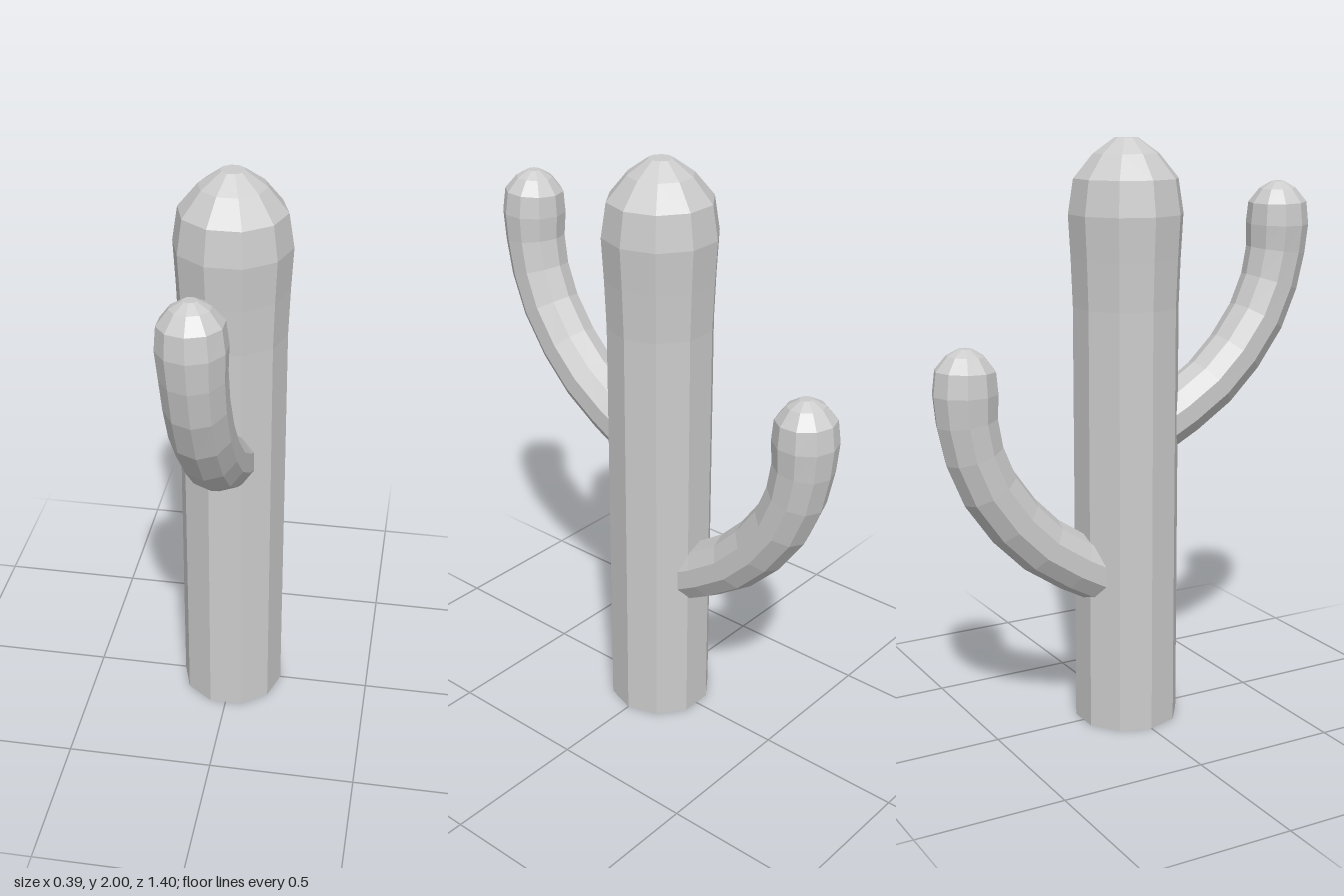
import * as THREE from 'three';

const SIDES = 10;

// Faceted tube: each ring is [x, y, z, radius]; both ends are closed.
function sweep(rings) {
  const centres = rings.map(([x, y, z]) => new THREE.Vector3(x, y, z));
  const across = new THREE.Vector3(1, 0, 0);
  const positions = [];
  const index = [];
  rings.forEach((ring, i) => {
    const tangent = centres[Math.min(i + 1, rings.length - 1)].clone()
      .sub(centres[Math.max(i - 1, 0)]).normalize();
    const normal = across.clone().cross(tangent).normalize();
    const side = tangent.clone().cross(normal);
    for (let j = 0; j < SIDES; j++) {
      const a = (j / SIDES) * Math.PI * 2;
      const p = centres[i].clone()
        .addScaledVector(normal, Math.cos(a) * ring[3])
        .addScaledVector(side, Math.sin(a) * ring[3]);
      positions.push(p.x, p.y, p.z);
    }
  });
  const last = (rings.length - 1) * SIDES;
  const startCentre = rings.length * SIDES;
  positions.push(...centres[0].toArray(), ...centres[rings.length - 1].toArray());
  for (let j = 0; j < SIDES; j++) {
    const k = (j + 1) % SIDES;
    for (let r = 0; r < last; r += SIDES) {
      index.push(r + j, r + k, r + SIDES + k, r + j, r + SIDES + k, r + SIDES + j);
    }
    index.push(startCentre, k, j, startCentre + 1, last + j, last + k);
  }
  const geometry = new THREE.BufferGeometry();
  geometry.setAttribute('position', new THREE.Float32BufferAttribute(positions, 3));
  geometry.setIndex(index);
  geometry.computeVertexNormals();
  return geometry;
}

// Arm curve as [distance from trunk axis, height, radius], ending in a small dome
const ARM = [
  [0.08, 1.01, 0.1], [0.21, 1.08, 0.1], [0.33, 1.16, 0.1], [0.43, 1.26, 0.1],
  [0.515, 1.38, 0.1], [0.565, 1.5, 0.1], [0.587, 1.61, 0.102], [0.59, 1.7, 0.108],
  [0.588, 1.775, 0.1], [0.586, 1.822, 0.062], [0.585, 1.845, 0.022],
];

export function createModel() {
  const model = new THREE.Group();
  model.name = 'cactus';
  const material = new THREE.MeshStandardMaterial({ color: 0xcccccc, flatShading: true });
  const add = (name, geometry) => {
    const mesh = new THREE.Mesh(geometry, material);
    mesh.name = name;
    model.add(mesh);
    return mesh;
  };

  // Trunk: straight column swelling into a rounded head
  const profile = [
    [0, 0], [0.18, 0], [0.18, 1.45], [0.186, 1.61], [0.194, 1.755],
    [0.176, 1.87], [0.11, 1.95], [0.04, 2], [0, 2],
  ].map(([r, y]) => new THREE.Vector2(r, y));
  add('trunk', new THREE.LatheGeometry(profile, SIDES, Math.PI / 2));

  // Arms: the same curve, the rear one lower and turned backwards
  const arm = (name, direction, drop, baseX, tipX) => add(name, sweep(ARM.map(([d, y, r]) =>
    [THREE.MathUtils.lerp(baseX, tipX, (y - 1) / 0.84), y - drop, d * direction, r])));
  arm('frontArm', 1, 0, 0, -0.025);
  arm('rearArm', -1, 0.49, -0.01, -0.005);

  return model;
}
